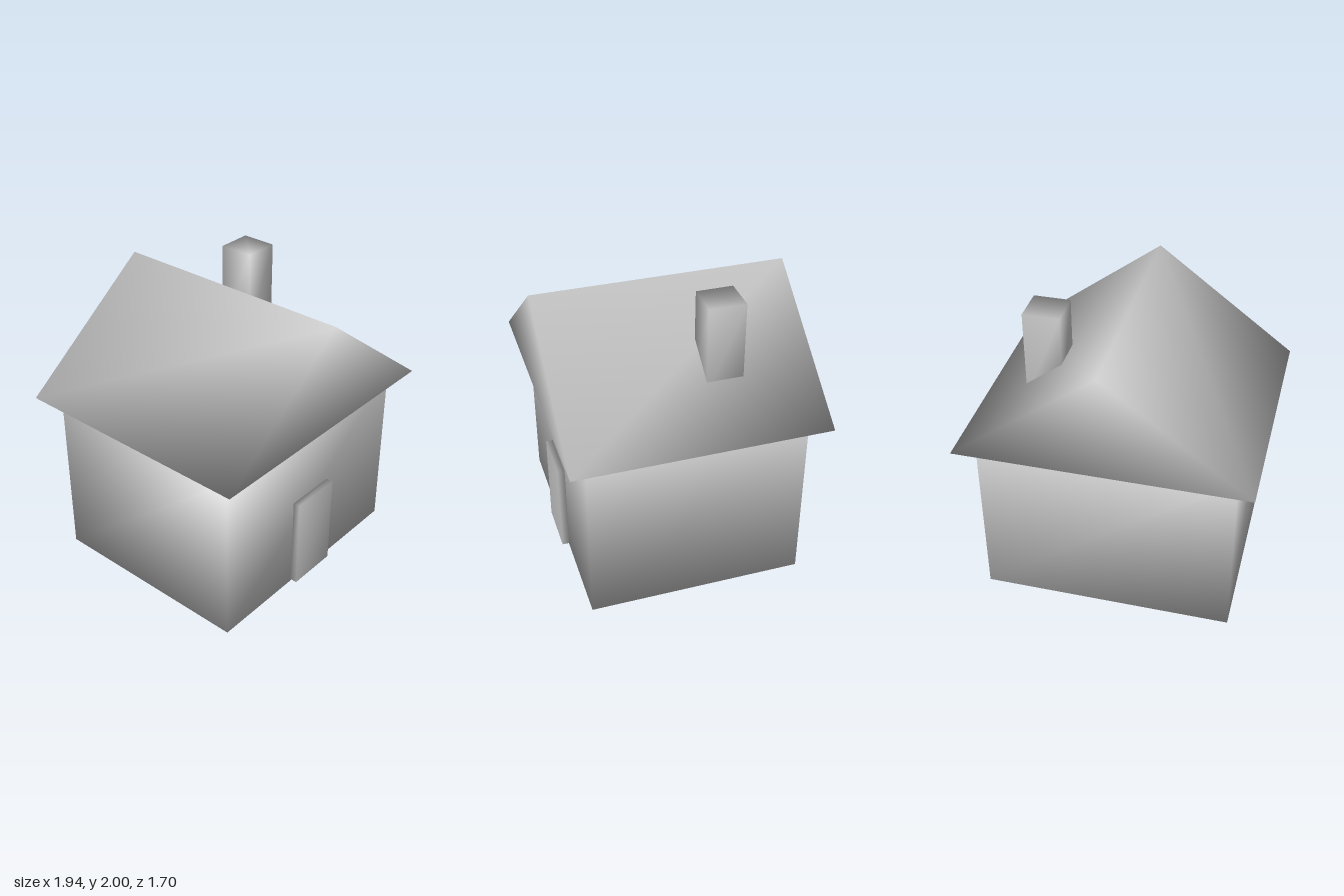
import * as THREE from 'three';
import { mergeVertices } from 'three/addons/utils/BufferGeometryUtils.js';

const U = 0.2425; // one building module

// Weld the corners so that normals blend smoothly across every edge.
function softened(geometry) {
  geometry.deleteAttribute('normal');
  geometry.deleteAttribute('uv');
  geometry.clearGroups();
  const welded = mergeVertices(geometry, 1e-4);
  welded.computeVertexNormals();
  return welded;
}

export function createModel() {
  const house = new THREE.Group();
  house.name = 'house';

  const plaster = new THREE.MeshStandardMaterial({ color: 0xcccccc });
  plaster.name = 'light grey';

  const add = (name, geometry, x, y, z) => {
    const mesh = new THREE.Mesh(softened(geometry), plaster);
    mesh.name = name;
    mesh.position.set(x, y, z);
    house.add(mesh);
  };

  // Walls
  add('walls', new THREE.BoxGeometry(7 * U, 5 * U, 6 * U), 0, 2.5 * U, 0);

  // Gabled roof: closed triangular prism with its ridge along z
  const gable = new THREE.Shape([
    new THREE.Vector2(-4 * U, 0),
    new THREE.Vector2(4 * U, 0),
    new THREE.Vector2(0, 3 * U),
  ]);
  add('roof', new THREE.ExtrudeGeometry(gable, { depth: 7 * U, bevelEnabled: false }), 0, 5 * U, -3.5 * U);

  // Front door
  add('door', new THREE.BoxGeometry(1.5 * U, 2.7 * U, 0.2 * U), 0, 1.4 * U, 3.1 * U);

  // Chimney, sunk into the left roof slope
  add('chimney', new THREE.BoxGeometry(U, 2.5 * U, U), 2 * U, 7 * U, -U);

  return house;
}
